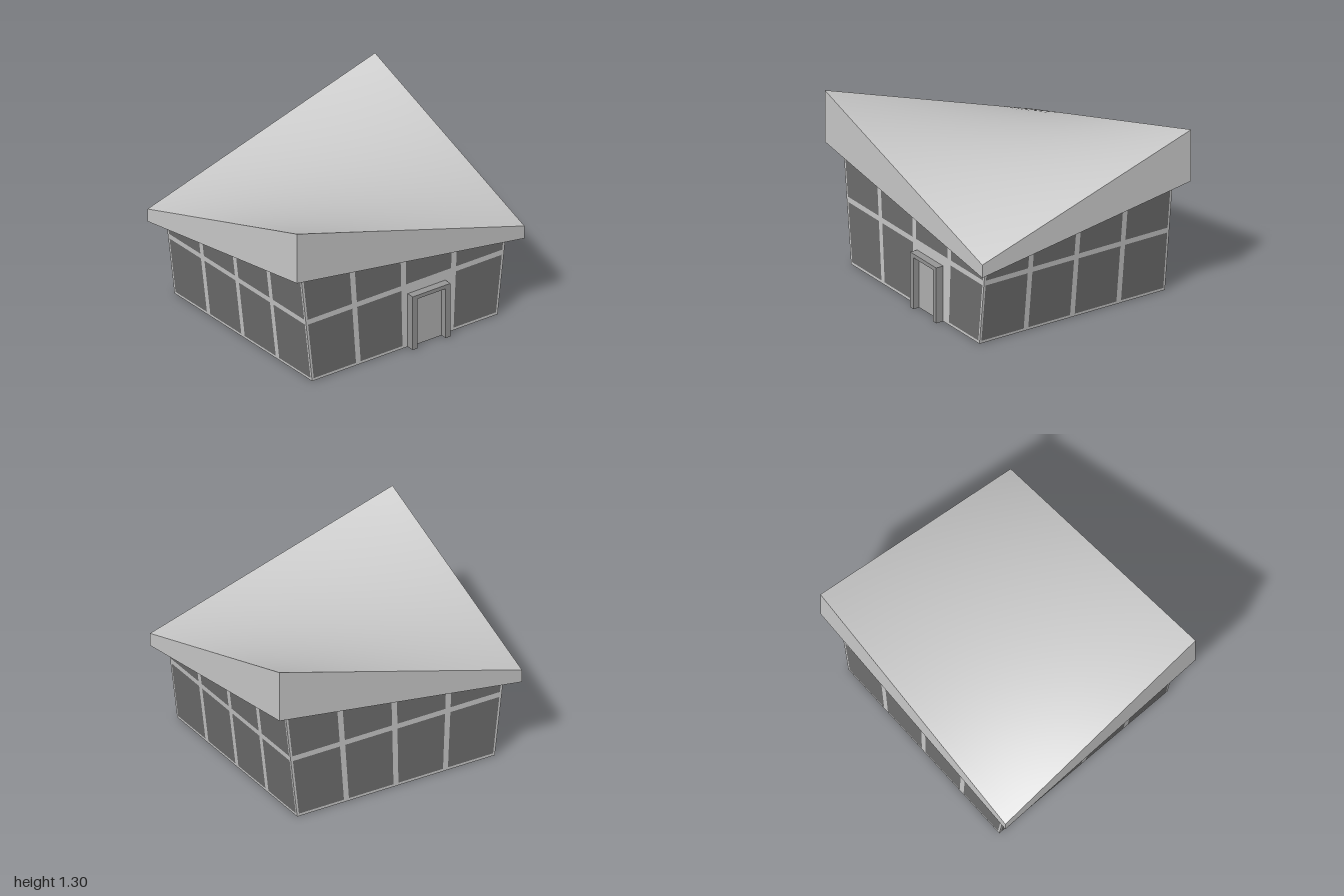
import * as THREE from 'three';

const paint = (color) => new THREE.MeshStandardMaterial({ color, side: THREE.DoubleSide });
const V = (x, y, z) => new THREE.Vector3(x, y, z);

// Four corners, counter-clockwise from above; corners 0 and 2 are the raised ones
const SIGNS = [[-1, 1, true], [1, 1, false], [1, -1, true], [-1, -1, false]];
const corners = (halfX, halfZ, high, low) =>
  SIGNS.map(([sx, sz, up]) => V(sx * halfX, up ? high : low, sz * halfZ));

const eaveTop = corners(1, 0.89, 1.3, 0.7);
const eaveBottom = corners(1, 0.89, 0.9, 0.6);
const wallTop = corners(0.9, 0.8, 0.892, 0.597);
const wallBase = SIGNS.map(([sx, sz, up]) => V(sx * (up ? 0.8 : 0.83), 0, sz * 0.8));

// Mesh from a list of quads, each given counter-clockwise as seen from outside
function quadMesh(name, quads, material) {
  const points = quads.flatMap(([a, b, c, d]) => [a, b, c, a, c, d]);
  const geometry = new THREE.BufferGeometry().setFromPoints(points);
  geometry.computeVertexNormals();
  const mesh = new THREE.Mesh(geometry, material);
  mesh.name = name;
  return mesh;
}

// Saddle roof with a deep fascia and a soffit ring under the overhang
function makeRoof(material) {
  const roof = new THREE.Group();
  roof.name = 'roof';

  const saddle = new THREE.PlaneGeometry(2, 1.78, 24, 24).rotateX(-Math.PI / 2);
  const p = saddle.attributes.position;
  for (let i = 0; i < p.count; i++) p.setY(i, 1 - 0.3 * p.getX(i) * p.getZ(i) / 0.89);
  saddle.computeVertexNormals();
  const top = new THREE.Mesh(saddle, material);
  top.name = 'saddleRoof';

  const fascia = [], soffit = [];
  for (let i = 0; i < 4; i++) {
    const j = (i + 1) % 4;
    fascia.push([eaveBottom[i], eaveBottom[j], eaveTop[j], eaveTop[i]]);
    soffit.push([eaveBottom[i], wallTop[i], wallTop[j], eaveBottom[j]]);
  }
  roof.add(top, quadMesh('fascia', fascia, material), quadMesh('soffit', soffit, material));
  return roof;
}

// One leaning wall: four bays of glass split by mullions and a mid rail
function makeWall(name, i, solidBay, frameMaterial, glassMaterial) {
  const j = (i + 1) % 4;
  const base = (u) => wallBase[i].clone().lerp(wallBase[j], u);
  const head = (u) => wallTop[i].clone().lerp(wallTop[j], u);
  const at = (u, y) => base(u).lerp(head(u), y / head(u).y);

  const edge = 0.01, half = 0.0125;
  const us = [0, edge];
  for (const m of [0.25, 0.5, 0.75]) us.push(m - half, m + half);
  us.push(1 - edge, 1);
  const ys = (u) => [0, 0.02, 0.47, 0.51, head(u).y - 0.016, head(u).y];

  const frame = [], glass = [];
  for (let c = 0; c < us.length - 1; c++) {
    const [u0, u1] = [us[c], us[c + 1]];
    const [y0, y1] = [ys(u0), ys(u1)];
    for (let r = 0; r < 5; r++) {
      const quad = [at(u0, y0[r]), at(u1, y1[r]), at(u1, y1[r + 1]), at(u0, y0[r + 1])];
      const isPane = c % 2 === 1 && r % 2 === 1;
      const isSolid = (c - 1) / 2 === solidBay && r === 1;
      (isPane && !isSolid ? glass : frame).push(quad);
    }
  }
  const wall = new THREE.Group();
  wall.name = name;
  wall.add(quadMesh('windowFrame', frame, frameMaterial), quadMesh('windowGlass', glass, glassMaterial));
  return wall;
}

// Door panel in a projecting surround
function makeDoor() {
  const door = new THREE.Group();
  door.name = 'door';
  const surround = paint(0x979797);
  const box = (name, x0, x1, y0, y1, z0, z1, material) => {
    const mesh = new THREE.Mesh(new THREE.BoxGeometry(x1 - x0, y1 - y0, z1 - z0), material);
    mesh.position.set((x0 + x1) / 2, (y0 + y1) / 2, (z0 + z1) / 2);
    mesh.name = name;
    door.add(mesh);
  };
  box('doorJamb', 0.04, 0.08, 0, 0.4, 0.795, 0.86, surround);
  box('doorJamb', 0.33, 0.37, 0, 0.4, 0.795, 0.86, surround);
  box('doorHead', 0.04, 0.37, 0.4, 0.43, 0.795, 0.86, surround);
  box('doorPanel', 0.08, 0.33, 0, 0.4, 0.795, 0.81, paint(0xb3b3b3));
  return door;
}

export function createModel() {
  const model = new THREE.Group();
  model.name = 'saddleRoofPavilion';
  const grey = paint(0xcccccc);
  const glass = paint(0x707070);

  model.add(makeRoof(grey), makeDoor());
  ['frontWall', 'leftWall', 'backWall', 'rightWall'].forEach((name, i) =>
    model.add(makeWall(name, i, i === 0 ? 2 : -1, grey, glass)));
  return model;
}
